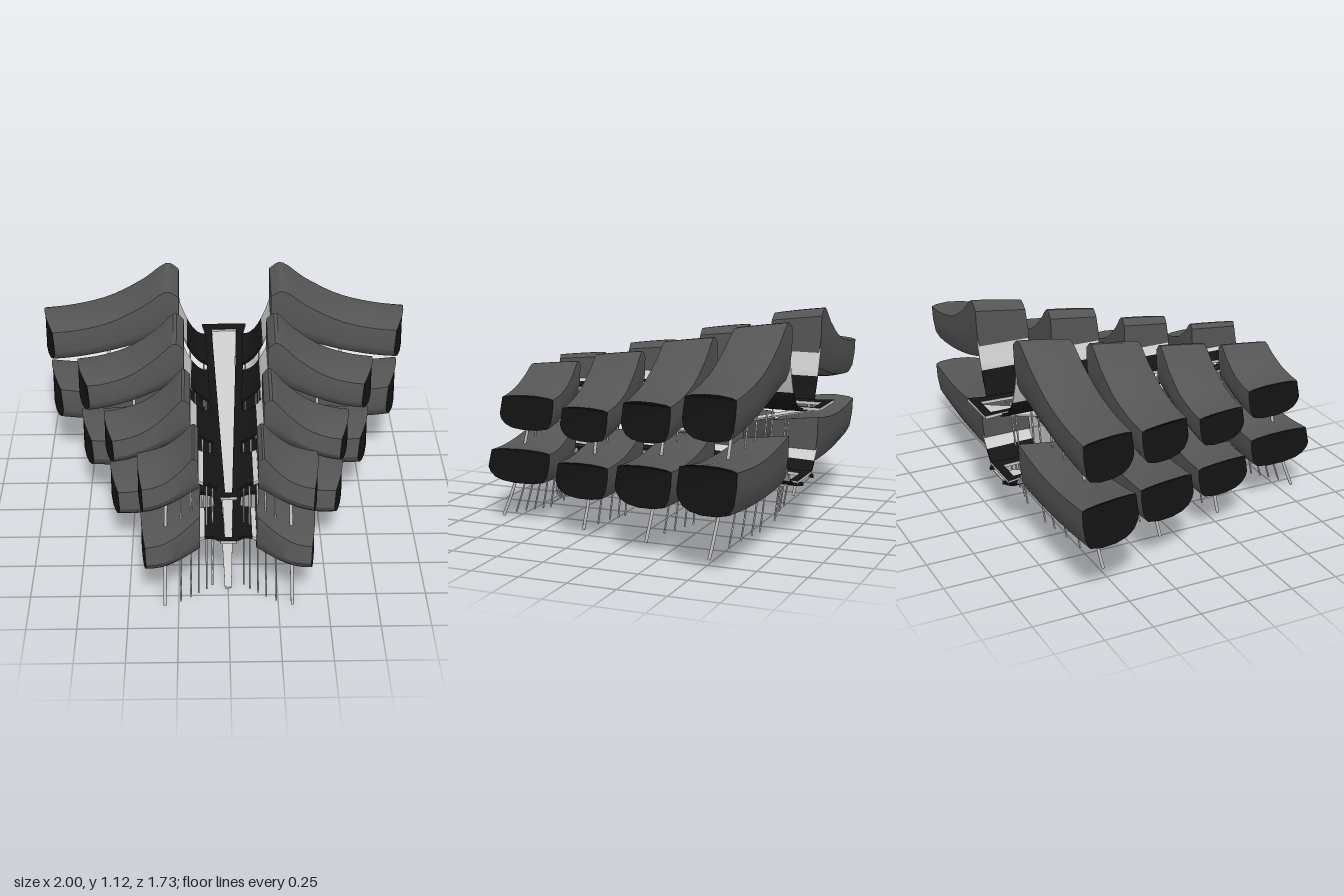
import * as THREE from 'three';
import { toCreasedNormals } from 'three/addons/utils/BufferGeometryUtils.js';

const mat = (color) => new THREE.MeshStandardMaterial({ color, side: THREE.DoubleSide });
const V = (x, y, z) => new THREE.Vector3(x, y, z);
const lerp = THREE.MathUtils.lerp;

// Surface from closed rings; flip reverses the corner order for mirrored parts.
function loft(rings, flip, ends = true) {
  const n = rings[0].length, pos = [], idx = [];
  const tri = (a, b, c) => (flip ? idx.push(a, c, b) : idx.push(a, b, c));
  rings.forEach((r) => r.forEach((p) => pos.push(p.x, p.y, p.z)));
  for (let i = 0; i < rings.length - 1; i++) {
    for (let j = 0; j < n; j++) {
      const a = i * n + j, b = i * n + ((j + 1) % n);
      tri(a, b, a + n);
      tri(b, b + n, a + n);
    }
  }
  if (ends) {
    const e = (rings.length - 1) * n;
    for (let j = 1; j < n - 1; j++) {
      tri(0, j + 1, j);
      tri(e, e + j, e + j + 1);
    }
  }
  const g = new THREE.BufferGeometry();
  g.setAttribute('position', new THREE.Float32BufferAttribute(pos, 3));
  g.setIndex(idx);
  return toCreasedNormals(g, 0.5);
}

// End panel over one ring
function panel(ring, flip) {
  const pos = [];
  for (let j = 1; j < ring.length - 1; j++) {
    const t = flip ? [ring[0], ring[j + 1], ring[j]] : [ring[0], ring[j], ring[j + 1]];
    t.forEach((p) => pos.push(p.x, p.y, p.z));
  }
  const g = new THREE.BufferGeometry();
  g.setAttribute('position', new THREE.Float32BufferAttribute(pos, 3));
  g.computeVertexNormals();
  return g;
}

// Pod cross-section: s runs rear to front, h bottom to top
const SECTION = [
  [0, 0.93], [0.08, 0.97], [0.3, 1], [0.55, 0.99], [0.8, 0.94], [0.94, 0.88],
  [1, 0.38], [0.97, 0.24], [0.89, 0.11], [0.76, 0.03], [0.55, 0], [0.3, 0.02], [0.12, 0.08], [0.05, 0.26], [0.01, 0.6],
];

// x: inner, outer | skew: how far the front outer corner is drawn in
// zi, zo: rear and front at the inner and outer end | ti, to, bi, bo: top and bottom heights
const UPPER = [
  { x: [0.145, 0.45], skew: 0.035, zi: [0.45, 0.73], zo: [0.46, 0.79], ti: 0.84, to: 0.69, bi: 0.6, bo: 0.505 },
  { x: [0.185, 0.635], skew: 0.06, zi: [0.06, 0.33], zo: [0.07, 0.36], ti: 0.925, to: 0.69, bi: 0.66, bo: 0.515 },
  { x: [0.22, 0.795], skew: 0.075, zi: [-0.35, -0.07], zo: [-0.33, -0.04], ti: 1.025, to: 0.775, bi: 0.73, bo: 0.575 },
  { x: [0.25, 1.0], skew: 0.07, zi: [-0.75, -0.46], zo: [-0.73, -0.44], ti: 1.125, to: 0.875, bi: 0.8, bo: 0.655 },
];
const LOWER = [
  { x: [0.14, 0.44], skew: 0.035, zi: [0.48, 0.75], zo: [0.49, 0.87], ti: 0.51, to: 0.4, bi: 0.25, bo: 0.215 },
  { x: [0.18, 0.615], skew: 0.06, zi: [0.07, 0.35], zo: [0.08, 0.4], ti: 0.51, to: 0.4, bi: 0.25, bo: 0.215 },
  { x: [0.22, 0.785], skew: 0.075, zi: [-0.34, -0.05], zo: [-0.33, 0], ti: 0.535, to: 0.46, bi: 0.27, bo: 0.25 },
  { x: [0.25, 0.98], skew: 0.08, zi: [-0.74, -0.47], zo: [-0.73, -0.4], ti: 0.55, to: 0.54, bi: 0.28, bo: 0.3 },
];

const HUMP = new THREE.CatmullRomCurve3([
  V(0, 0.84, 0), V(0.08, 1, 0), V(0.27, 0.62, 0), V(0.54, 0.22, 0), V(0.8, 0.05, 0), V(1, 0, 0),
]);

function podRings(p, side, upper) {
  const rings = [];
  for (let i = 0; i <= 18; i++) {
    const h = HUMP.getPoint(i / 18), t = h.x;
    const dip = upper ? 0 : -0.035 * Math.sin(Math.PI * t);
    const top = upper ? lerp(p.to, p.ti, h.y) : lerp(p.ti, p.to, t) + dip;
    const bot = upper ? lerp(p.bo, p.bi, Math.pow(1 - t, 1.6)) : lerp(p.bi, p.bo, t) + dip * 0.5;
    const z0 = lerp(p.zi[0], p.zo[0], t), z1 = lerp(p.zi[1], p.zo[1], Math.sin(t * Math.PI / 2));
    rings.push(SECTION.map(([s, k]) => {
      const x = lerp(p.x[0], p.x[1], t) - t * t * p.skew * s * s;
      // the roof leans forward at the inner end and is domed at the outer end
      const kk = k > 0.8 ? lerp(1 - 0.13 * s, k, t) : k;
      return V(side * x, lerp(bot, top, kk), lerp(z0, z1, s));
    }));
  }
  return rings;
}

export function createModel() {
  const root = new THREE.Group();
  const shellMat = mat(0x555555), darkMat = mat(0x141414), lightMat = mat(0xcccccc);
  const add = (parent, name, geo, m) => {
    const mesh = new THREE.Mesh(geo, m);
    mesh.name = name;
    parent.add(mesh);
  };

  const decks = [
    { name: 'upperDeck', pods: UPPER, y: () => 0.655, z: [-0.86, 0.83] },
    { name: 'lowerDeck', pods: LOWER, y: (z) => 0.318 + 0.064 * z, z: [-0.75, 0.8] },
  ];
  decks.forEach((d, level) => {
    const g = new THREE.Group();
    g.name = d.name;
    root.add(g);

    // Spine plate with a tapering slot and pale edges
    const [zr, zf] = d.z;
    const s = new THREE.Shape();
    const right = [[0.125, zr], [0.11, zr + 0.08], [0.1, -0.45], [0.085, -0.1], [0.07, 0.4], [0.05, zf - 0.08], [0.04, zf]];
    const outline = [...right, ...right.map(([x, z]) => [-x, z]).reverse()];
    s.setFromPoints(outline.map(([x, z]) => new THREE.Vector2(x, -z)));
    s.holes.push(new THREE.Path([[-0.07, zr + 0.05], [0.07, zr + 0.05], [0.017, zf - 0.04], [-0.017, zf - 0.04]]
      .map(([x, z]) => new THREE.Vector2(x, -z))));
    const spine = new THREE.ExtrudeGeometry(s, { depth: 0.016, bevelEnabled: false });
    spine.rotateX(-Math.PI / 2);
    const a = spine.attributes.position;
    for (let i = 0; i < a.count; i++) {
      a.setY(i, a.getY(i) - 0.008 + d.y(a.getZ(i)) + 0.8 * a.getX(i) ** 2);
    }
    spine.computeVertexNormals();
    add(g, 'spine', spine, [darkMat, lightMat]);

    for (const side of [1, -1]) {
      d.pods.forEach((p, row) => {
        // Pod shell, dark outer window and inner end
        const rings = podRings(p, side, level === 0);
        add(g, 'podShell', loft(rings, side < 0, false), shellMat);
        add(g, 'podWindow', panel(rings[rings.length - 1], side < 0), darkMat);
        add(g, 'podInnerEnd', panel(rings[0], side > 0), shellMat);

        // Arm with filleted root, then a pale flare sweeping up to the pod
        const x0 = 0.045 + row * 0.014, x1 = p.x[0] + 0.01, arm = [];
        const zm = (p.zi[0] + p.zi[1]) / 2, end = lerp(p.bi, p.ti, 0.36);
        for (let i = 0; i <= 10; i++) {
          const t = i / 10, x = lerp(x0, x1, t) * side;
          const half = (p.zi[1] - p.zi[0]) / 2 - 0.005 + 0.035 * Math.pow(1 - t, 4);
          const y = (z) => lerp(d.y(z), end, Math.pow(t, 2.4));
          const zs = [zm - half, zm + half];
          arm.push([V(x, y(zs[0]) + 0.008, zs[0]), V(x, y(zs[1]) + 0.008, zs[1]),
            V(x, y(zs[1]) - 0.008, zs[1]), V(x, y(zs[0]) - 0.008, zs[0])]);
        }
        add(g, 'arm', loft(arm.slice(0, 8), side < 0), darkMat);
        add(g, 'armFlare', loft(arm.slice(7), side < 0), lightMat);
      });
    }
  });

  // Tapering ramps running down from the rear of each deck
  const ramp = (name, pts) => {
    const c = new THREE.CatmullRomCurve3(pts.map(([z, y]) => V(0, y, z)));
    const rings = c.getSpacedPoints(30).map((p, i) => {
      const w = lerp(0.068, 0.017, i / 30);
      return [V(w, p.y + 0.004, p.z), V(-w, p.y + 0.004, p.z), V(-w, p.y - 0.004, p.z), V(w, p.y - 0.004, p.z)];
    });
    add(root, name, loft(rings, false), lightMat);
  };
  ramp('upperRamp', [[-0.83, 0.655], [-0.6, 0.6], [0, 0.465], [0.5, 0.39], [0.79, 0.365]]);
  ramp('lowerRamp', [[-0.76, 0.27], [-0.68, 0.25], [-0.2, 0.18], [0.3, 0.105], [0.62, 0.05], [0.7, 0.005]]);

  // Slender curved stilts, fanned out at the ground
  const stilts = [
    { x: [0.08, 0.11, 0.15, 0.19, 0.24, 0.32], z: [0.67, 0.83], top: [0.6, 0.67] },
    { x: [0.09, 0.13, 0.19, 0.29, 0.42], z: [0.22, 0.31], top: [0.19, 0.23] },
    { x: [0.11, 0.17, 0.25, 0.33, 0.51], z: [-0.18, -0.08], top: [-0.21, -0.18] },
    { x: [0.12, 0.2, 0.31, 0.44, 0.67], z: [-0.55, -0.48], top: [-0.61, -0.59] },
  ];
  stilts.forEach((r, row) => {
    const p = UPPER[row];
    r.x.forEach((x, j) => {
      const t = j / (r.x.length - 1), z0 = lerp(r.z[0], r.z[1], t), z1 = lerp(r.top[0], r.top[1], t);
      const k = (x - p.x[0]) / (p.x[1] - p.x[0]);
      const top = k < 0 ? 0.655 : lerp(p.bi, p.bo, k) + 0.02;
      const radius = j === r.x.length - 1 ? 0.009 : 0.005;
      for (const side of [1, -1]) {
        const c = new THREE.QuadraticBezierCurve3(V(side * x, 0.001, z0),
          V(side * x * 0.98, top * 0.5, lerp(z0, z1, 0.75)), V(side * x * 0.96, top, z1));
        add(root, 'stilt', new THREE.TubeGeometry(c, 8, radius, 5), lightMat);
      }
    });
  });
  return root;
}
